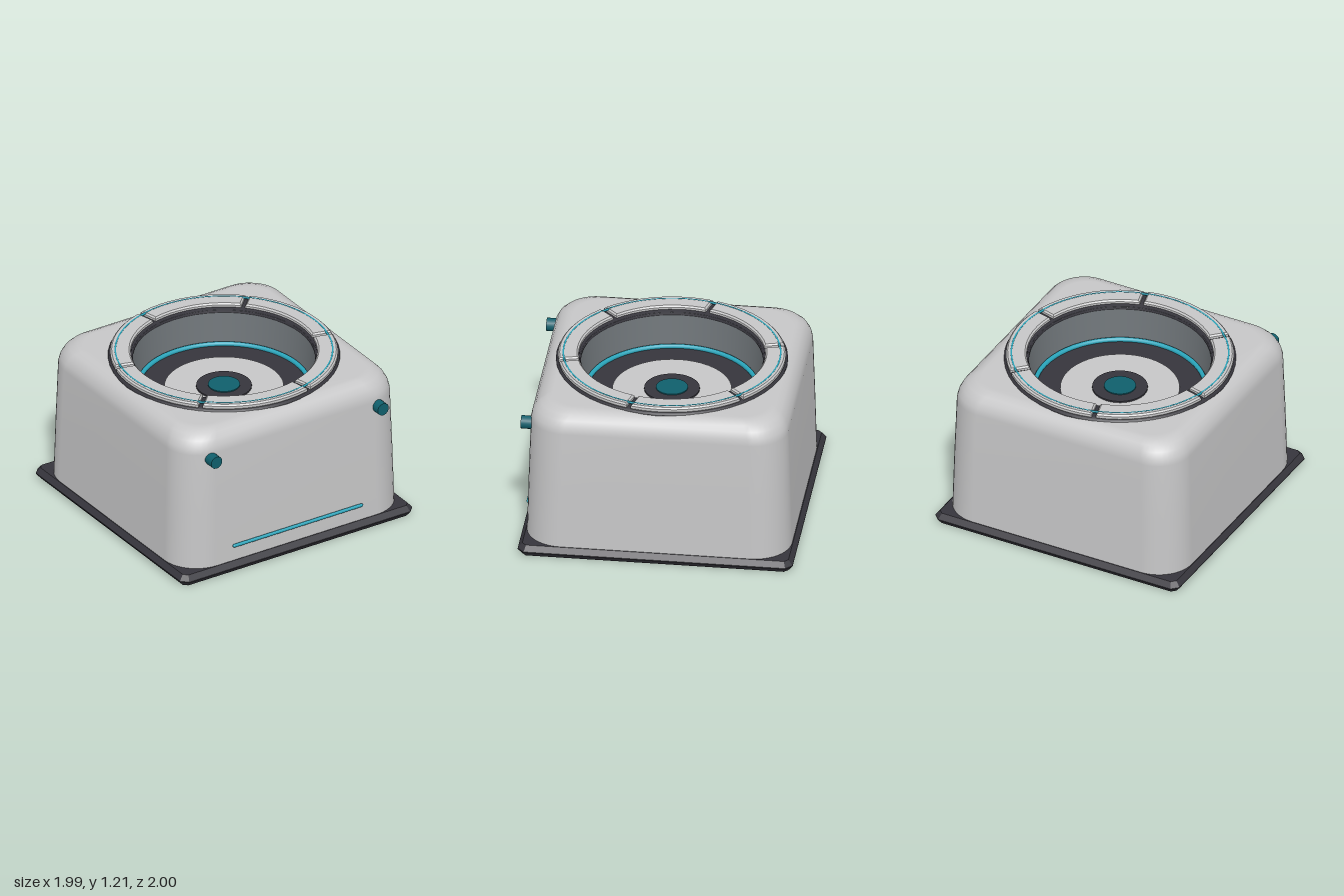
import * as THREE from 'three';

const mat = (name, color, side = THREE.FrontSide) => {
  const m = new THREE.MeshStandardMaterial({ color, side });
  m.name = name;
  return m;
};

// Closed rounded-square shell lofted from [halfWidth, cornerRadius, y] loops
function roundedLoft(loops, steps = 10) {
  const pos = [], index = [], n = 4 * (steps + 1);
  for (const [h, r, y] of loops) {
    for (let c = 0; c < 4; c++) {
      const mid = (c + 0.5) * Math.PI / 2;
      const cx = Math.sign(Math.cos(mid)) * (h - r), cz = Math.sign(Math.sin(mid)) * (h - r);
      for (let s = 0; s <= steps; s++) {
        const a = (c + s / steps) * Math.PI / 2;
        pos.push(cx + r * Math.cos(a), y, cz + r * Math.sin(a));
      }
    }
  }
  for (let j = 0; j < loops.length - 1; j++) {
    for (let i = 0; i < n; i++) {
      const a = j * n + i, b = j * n + (i + 1) % n;
      index.push(a, a + n, b, b, a + n, b + n);
    }
  }
  const g = new THREE.BufferGeometry();
  g.setAttribute('position', new THREE.Float32BufferAttribute(pos, 3));
  g.setIndex(index);
  g.computeVertexNormals();
  return g;
}

export function createModel() {
  const group = new THREE.Group();
  const shell = mat('shell grey', 0xc6c6c7);
  const dark = mat('charcoal', 0x36353c);
  const slate = mat('slate', 0x70767a, THREE.DoubleSide);
  const teal = mat('deep teal', 0x105f6c);
  const bright = mat('bright teal', 0x2aa6bc);
  dark.flatShading = false;

  const add = (name, geometry, material, x = 0, y = 0, z = 0) => {
    const m = new THREE.Mesh(geometry, material);
    m.name = name;
    m.position.set(x, y, z);
    group.add(m);
    return m;
  };

  // Base plate: clipped square with bevelled rim
  const h = 0.965, c = 0.03;
  const plate = new THREE.Shape([
    [h, -h + c], [h, h - c], [h - c, h], [-h + c, h],
    [-h, h - c], [-h, -h + c], [-h + c, -h], [h - c, -h],
  ].map(([x, y]) => new THREE.Vector2(x, y)));
  const plateGeo = new THREE.ExtrudeGeometry(plate, {
    depth: 0.005, bevelThickness: 0.04, bevelSize: 0.032, bevelSegments: 1,
  });
  plateGeo.rotateX(-Math.PI / 2).translate(0, 0.04, 0);
  add('basePlate', plateGeo, dark);

  // Main housing: tapered sides, soft shoulder, flat top around a round opening
  add('housing', roundedLoft([
    [0.96, 0.27, 0.08], [0.948, 0.265, 0.55], [0.934, 0.26, 1.0], [0.924, 0.26, 1.05],
    [0.902, 0.25, 1.095], [0.87, 0.24, 1.13], [0.825, 0.22, 1.152], [0.79, 0.22, 1.156],
    [0.66, 0.66, 1.156],
  ]), shell);

  // Recessed well
  add('wellWall', new THREE.CylinderGeometry(0.66, 0.64, 0.27, 48, 1, true), slate, 0, 1.025, 0);
  const disc = (name, r, top, height, material) =>
    add(name, new THREE.CylinderGeometry(r, r, height, 48), material, 0, top - height / 2, 0);
  disc('wellFloor', 0.645, 0.895, 0.03, dark);
  disc('paleDisc', 0.43, 0.902, 0.02, shell);
  disc('hubDisc', 0.2, 0.914, 0.02, dark);
  disc('hubCap', 0.115, 0.922, 0.02, teal);
  const glow = add('wellGlowRing', new THREE.TorusGeometry(0.615, 0.018, 8, 64), bright, 0, 0.905, 0);
  glow.rotation.x = Math.PI / 2;

  // Dark gasket beneath the segmented rim
  const gasket = [[0.655, 1.14], [0.835, 1.14], [0.835, 1.162], [0.812, 1.164],
    [0.805, 1.178], [0.665, 1.178], [0.655, 1.14]].map(([x, y]) => new THREE.Vector2(x, y));
  add('rimGasket', new THREE.LatheGeometry(gasket, 48), dark);

  // Six bevelled rim segments with narrow gaps
  const bevel = 0.012, ri = 0.672 + bevel, ro = 0.82 - bevel;
  const half = Math.PI / 6, gap = 0.034;
  const arc = new THREE.Shape();
  arc.absarc(0, 0, ro, -half + gap, half - gap, false);
  arc.absarc(0, 0, ri, half - gap * 1.15, -half + gap * 1.15, true);
  const segment = new THREE.ExtrudeGeometry(arc, {
    depth: 0.02, bevelThickness: bevel, bevelSize: bevel, bevelSegments: 1, curveSegments: 5,
  });
  segment.rotateX(-Math.PI / 2).translate(0, 1.162 + bevel, 0);
  for (let i = 0; i < 6; i++) {
    add('rimSegment', segment, shell).rotation.y = -(Math.PI / 12 + half + i * Math.PI / 3);
  }

  // Thin bright line inlaid on the rim
  const line = add('rimLine', new THREE.TorusGeometry(0.782, 0.009, 6, 72), bright, 0, 1.2, 0);
  line.rotation.x = Math.PI / 2;

  // Front pegs and light bar
  const pegGeo = new THREE.CylinderGeometry(0.048, 0.048, 0.1, 14).rotateX(Math.PI / 2);
  for (const s of [-1, 1]) add('frontPeg', pegGeo, teal, s * 0.715, 0.96, 0.95);
  const barGeo = new THREE.CapsuleGeometry(0.013, 1.09, 3, 8).rotateZ(Math.PI / 2);
  add('lightBar', barGeo, bright, 0, 0.21, 0.972);

  return group;
}
